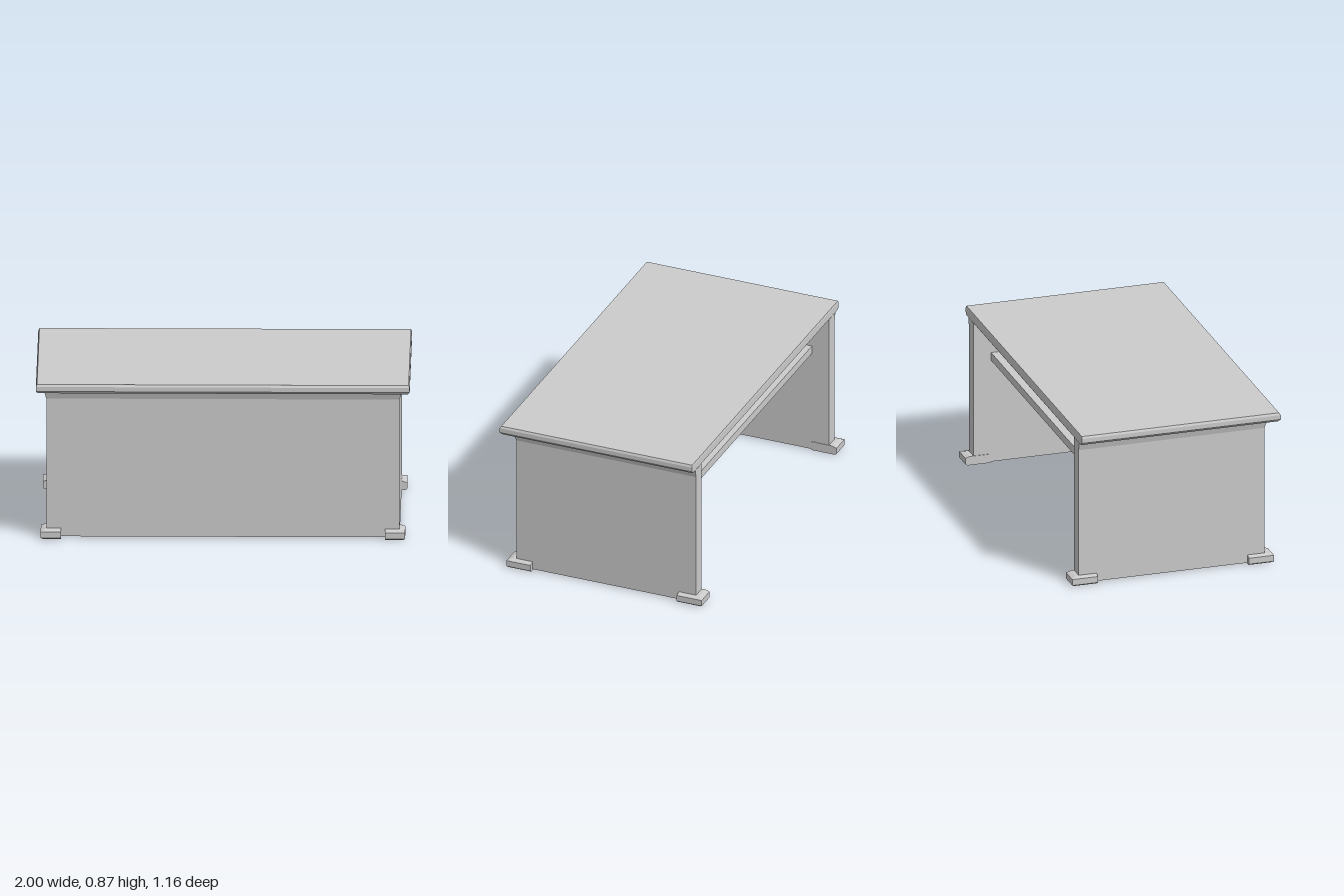
import * as THREE from 'three';

const material = new THREE.MeshStandardMaterial({ color: 0xcccccc, flatShading: true });

function add(parent, name, geometry) {
  const mesh = new THREE.Mesh(geometry, material);
  mesh.name = name;
  parent.add(mesh);
  return mesh;
}

// Box whose rows follow a profile, bottom to top: [y, minX, maxX, minZ, maxZ]
function profiledBox(rows) {
  const n = rows.length - 1;
  const g = new THREE.BoxGeometry(1, 1, 1, 1, n, 1).toNonIndexed();
  const p = g.attributes.position;
  for (let i = 0; i < p.count; i++) {
    const [y, x0, x1, z0, z1] = rows[Math.round((p.getY(i) + 0.5) * n)];
    p.setXYZ(i, p.getX(i) < 0 ? x0 : x1, y, p.getZ(i) < 0 ? z0 : z1);
  }
  g.computeVertexNormals();
  return g;
}

// U-shaped shell: two side panels and a front panel, flared under the top
function shellGeometry() {
  const X = 0.945, IN = 0.87, BACK = -0.54, FRONT = 0.505, IN_FRONT = 0.42;
  const outline = [
    [-X, BACK], [-X, FRONT], [X, FRONT], [X, BACK],
    [IN, BACK], [IN, IN_FRONT], [-IN, IN_FRONT], [-IN, BACK],
  ].map(([x, z]) => new THREE.Vector2(x, -z));
  const g = new THREE.ExtrudeGeometry(new THREE.Shape(outline), {
    depth: 1, steps: 2, bevelEnabled: false,
  });
  g.rotateX(-Math.PI / 2);
  const p = g.attributes.position;
  const levels = [0.005, 0.77, 0.815];
  for (let i = 0; i < p.count; i++) {
    const level = Math.round(p.getY(i) * 2);
    p.setY(i, levels[level]);
    if (level === 2) {
      const x = p.getX(i);
      if (Math.abs(x) > 0.9) p.setX(i, x + Math.sign(x) * 0.012);
      if (p.getZ(i) > 0.46) p.setZ(i, p.getZ(i) + 0.014);
    }
  }
  g.computeVertexNormals();
  return g;
}

export function createModel() {
  const desk = new THREE.Group();
  desk.name = 'desk';

  // Top with softened edges, overhanging the front and sides
  add(desk, 'top', profiledBox([
    [0.81, -0.965, 0.965, -0.535, 0.535],
    [0.817, -0.99, 0.99, -0.54, 0.567],
    [0.83, -1, 1, -0.54, 0.58],
    [0.855, -1, 1, -0.54, 0.58],
    [0.867, -0.994, 0.994, -0.538, 0.572],
  ]));

  add(desk, 'sideAndFrontPanels', shellGeometry());

  // Shelf spanning the knee space, resting against the front panel
  const shelf = add(desk, 'shelf', new THREE.BoxGeometry(1.75, 0.045, 0.87));
  shelf.position.set(0, 0.61, -0.005);

  // Feet projecting from each corner
  const feet = new THREE.Group();
  feet.name = 'feet';
  desk.add(feet);
  for (const sx of [-1, 1]) {
    for (const [z0, z1, end] of [[0.41, 0.55, 'Front'], [-0.585, -0.44, 'Back']]) {
      const row = (y, inset) => {
        const outer = 0.975 - inset, inner = 0.867;
        return [
          y,
          sx < 0 ? -outer : inner,
          sx < 0 ? -inner : outer,
          end === 'Back' ? z0 + inset : z0,
          end === 'Front' ? z1 - inset : z1,
        ];
      };
      add(feet, (sx > 0 ? 'left' : 'right') + end + 'Foot',
        profiledBox([row(0, 0.01), row(0.008, 0), row(0.042, 0), row(0.05, 0.025)]));
    }
  }
  return desk;
}
